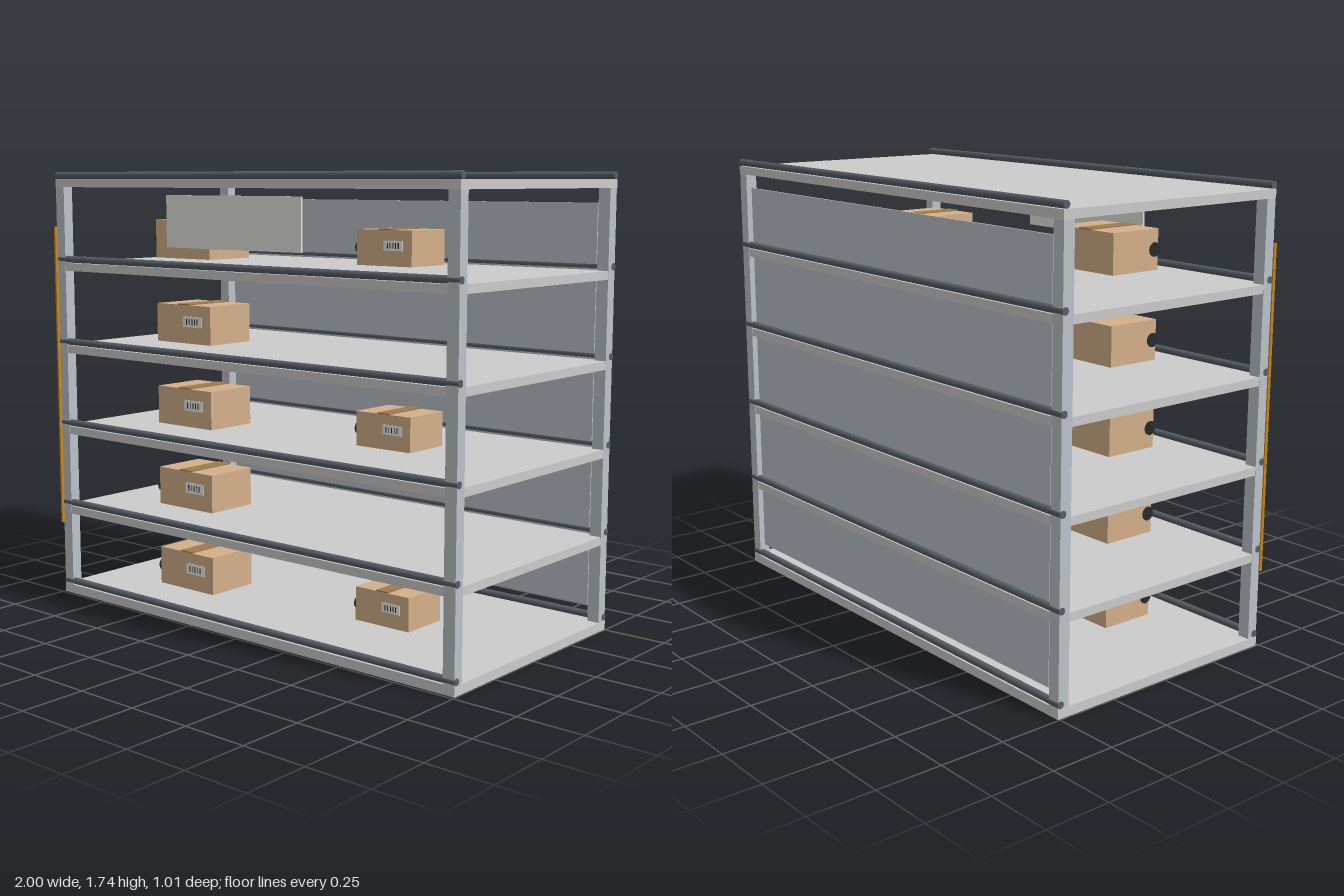
import * as THREE from 'three';

const mat = (color) => new THREE.MeshStandardMaterial({ color });

export function createModel() {
  const rack = new THREE.Group();
  rack.name = 'storageRack';

  const steel = mat(0xbcc3c9), deckGrey = mat(0xcccccc), dark = mat(0x565e66);
  const panelGrey = mat(0xbcc4cb), card = mat(0xd4b08a), tape = mat(0x9c7b50);
  const paper = mat(0xeeeeea), ink = mat(0x2a2a2a), signMat = mat(0xe6e6de);
  const amber = mat(0xc8871c);

  // Box given by its minimum and maximum corners
  function block(name, [x0, y0, z0], [x1, y1, z1], material, parent = rack) {
    const mesh = new THREE.Mesh(new THREE.BoxGeometry(x1 - x0, y1 - y0, z1 - z0), material);
    mesh.position.set((x0 + x1) / 2, (y0 + y1) / 2, (z0 + z1) / 2);
    mesh.name = name;
    parent.add(mesh);
    return mesh;
  }

  // Cylinder lying along x
  function rod(name, radius, length, x, y, z, material, parent = rack) {
    const mesh = new THREE.Mesh(new THREE.CylinderGeometry(radius, radius, length, 16), material);
    mesh.rotation.z = Math.PI / 2;
    mesh.position.set(x, y, z);
    mesh.name = name;
    parent.add(mesh);
    return mesh;
  }

  const pitch = 0.335, levels = 6;
  const front = 0.487, back = -0.505;

  // Corner posts
  for (const side of [-1, 1]) {
    const xs = [side * 0.995, side * 0.947].sort((a, b) => a - b);
    block('frontPost', [xs[0], 0.002, front - 0.043], [xs[1], 1.705, front], steel);
    block('backPost', [xs[0], 0.002, back], [xs[1], 1.705, back + 0.046], steel);
  }

  // Shelf decks with a dark rail along the front and back edges
  for (let i = 0; i < levels; i++) {
    const y = i * pitch;
    const end = i === 0 || i === levels - 1;
    const inset = end ? -0.001 : 0.001;
    block('shelfDeck', [-0.995 + inset, y + (i ? 0.004 : 0), back + inset],
      [0.995 - inset, y + 0.036, front - inset], deckGrey);
    for (const z of [0.476, -0.495]) rod('edgeRail', 0.0135, 1.994, 0, y + 0.0505, z, dark);
  }

  // Back sheet
  block('backPanel', [-0.93, 0.09, -0.492], [0.93, 1.625, -0.484], panelGrey);

  // Cardboard carton with top tape, side hand hole and printed label
  function carton(size, x, y, z) {
    const [w, h, d] = size;
    const g = new THREE.Group();
    g.name = 'carton';
    g.position.set(x, y, z);
    block('cartonBody', [-w / 2, 0, -d / 2], [w / 2, h, d / 2], card, g);
    block('packingTape', [-w * 0.11, h, -d / 2], [w * 0.11, h + 0.004, d / 2], tape, g);
    rod('handHole', w * 0.09, 0.003, -w / 2 - 0.001, h * 0.5, d / 2 - w * 0.06, ink, g);
    const lx = w * 0.17, ly = h * 0.57, lw = w * 0.34, lh = h * 0.28, lz = d / 2;
    block('label', [lx - lw / 2, ly - lh / 2, lz], [lx + lw / 2, ly + lh / 2, lz + 0.002], paper, g);
    // Bar pattern on the label
    [-0.3, -0.16, 0, 0.14, 0.28].forEach((t, k) => {
      const bx = lx + t * lw, bw = lw * (k % 2 ? 0.03 : 0.05);
      block('labelBar', [bx - bw / 2, ly - lh * 0.28, lz + 0.002],
        [bx + bw / 2, ly + lh * 0.28, lz + 0.003], ink, g);
    });
    rack.add(g);
  }

  // A large carton on every shelf, a small one on alternate shelves
  for (let i = 0; i < levels - 1; i++) {
    const y = i * pitch + 0.061;
    carton([0.298, 0.152, 0.224], -0.478, y, 0.173);
    if (i % 2 === 0) carton([0.25, 0.13, 0.197], 0.439, y, 0.072);
  }

  // Aisle sign plate and the marker strip on one front post
  block('signPlate', [-0.335, 1.457, 0.496], [0.335, 1.652, 0.505], signMat);
  block('markerStrip', [-1, 0.297, 0.486], [-0.992, 1.52, 0.499], amber);

  return rack;
}
